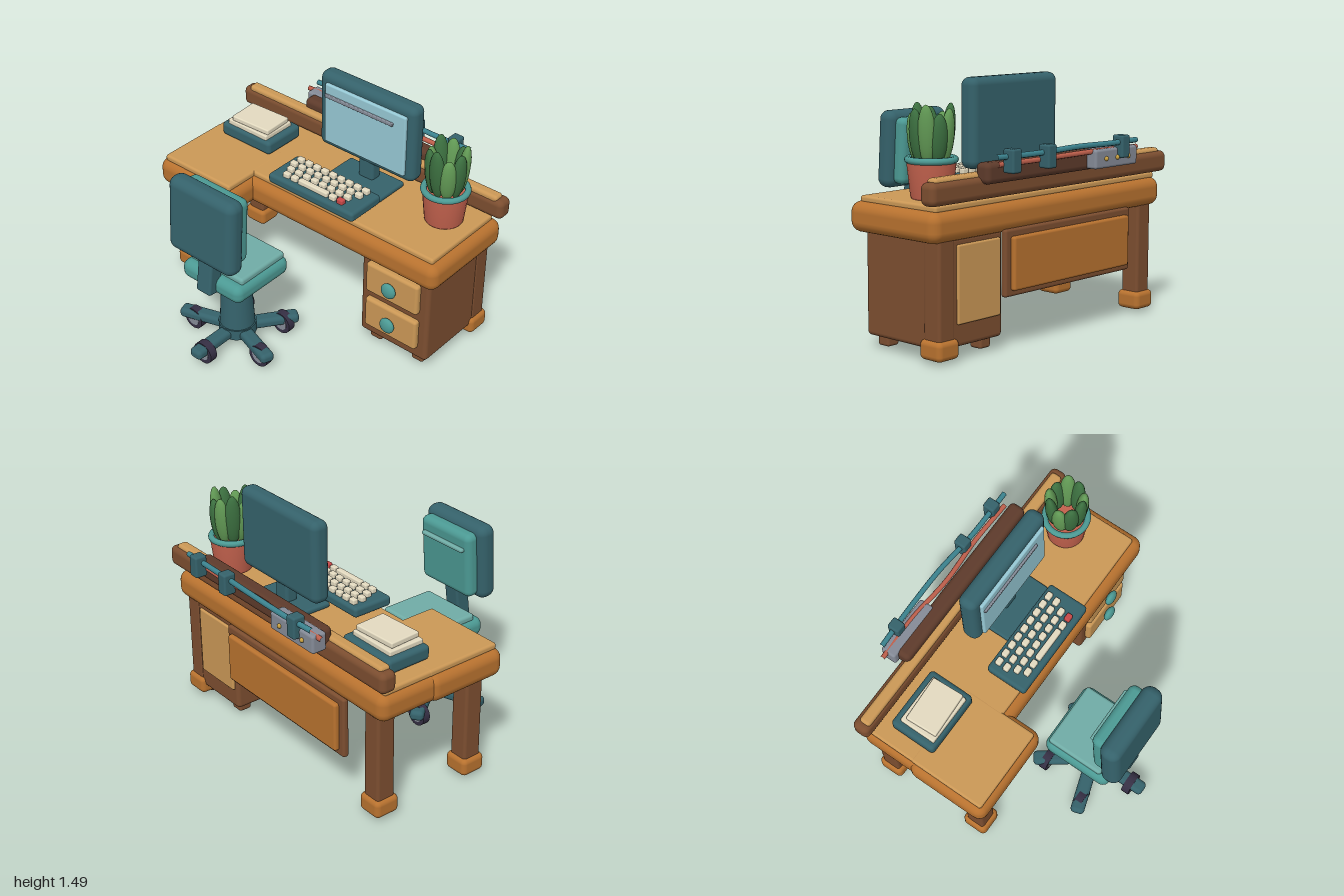
import * as THREE from 'three';
import { RoundedBoxGeometry } from 'three/addons/geometries/RoundedBoxGeometry.js';

const C = {
  orange: 0xb8722f, tan: 0xcb9856, brown: 0x7c4e30, darkBrown: 0x5e3b2b, teal: 0x35626b,
  seat: 0x4c9a94, pale: 0x70aca6, cream: 0xe3dac0, red: 0xc0604c, keyRed: 0xc84848, glass: 0x96c8d4,
  grey: 0x858b97, wheel: 0x352f44, leaf: 0x3c7040, leafLight: 0x629a55, gold: 0xc9a040, pole: 0x3c8490,
};
const mats = {};
const mat = (c) => (mats[c] ??= new THREE.MeshStandardMaterial({ color: C[c] }));

function add(parent, name, color, geometry, x = 0, y = 0, z = 0) {
  const mesh = new THREE.Mesh(geometry, mat(color));
  mesh.name = name;
  mesh.position.set(x, y, z);
  parent.add(mesh);
  return mesh;
}

// Rounded box given by its extents
function box(parent, name, color, [x0, x1], [y0, y1], [z0, z1], r = 0.01) {
  const w = x1 - x0, h = y1 - y0, d = z1 - z0;
  const radius = Math.min(r, Math.min(w, h, d) * 0.49);
  return add(parent, name, color, new RoundedBoxGeometry(w, h, d, 3, radius),
    (x0 + x1) / 2, (y0 + y1) / 2, (z0 + z1) / 2);
}

function group(parent, name) {
  const g = new THREE.Group();
  g.name = name;
  parent.add(g);
  return g;
}

function buildDesk(root) {
  const desk = group(root, 'desk');
  // L-shaped slab with an inset work surface
  box(desk, 'mainSlab', 'orange', [-0.975, 0.97], [0.65, 0.82], [-0.65, 0.02], 0.06);
  box(desk, 'wingSlab', 'orange', [-0.99, -0.385], [0.65, 0.82], [-0.31, 0.22], 0.06);
  box(desk, 'mainSurface', 'tan', [-0.95, 0.92], [0.81, 0.85], [-0.61, -0.03], 0.015);
  box(desk, 'wingSurface', 'tan', [-0.952, -0.42], [0.81, 0.851], [-0.3, 0.19], 0.015);
  // Rear rail
  box(desk, 'backRail', 'brown', [-1, 1], [0.855, 0.98], [-0.67, -0.565], 0.035);
  box(desk, 'railCap', 'tan', [-0.955, 0.955], [0.93, 1.0], [-0.645, -0.575], 0.02);
  // Legs with block feet
  for (const [x, z] of [[-0.85, 0.08], [-0.85, -0.56], [0.845, -0.56]]) {
    box(desk, 'leg', 'brown', [x - 0.06, x + 0.06], [0.1, 0.68], [z - 0.06, z + 0.06], 0.018);
    box(desk, 'foot', 'orange', [x - 0.08, x + 0.08], [0.02, 0.13], [z - 0.08, z + 0.08], 0.03);
  }
  // Rear panels
  box(desk, 'modestyPanel', 'brown', [-0.66, 0.43], [0.295, 0.67], [-0.655, -0.615], 0.015);
  box(desk, 'modestyInset', 'orange', [-0.62, 0.39], [0.33, 0.63], [-0.685, -0.645], 0.015);
  // Drawer cabinet
  box(desk, 'cabinet', 'brown', [0.41, 0.9], [0.075, 0.67], [-0.615, -0.05], 0.025);
  box(desk, 'cabinetBackPanel', 'tan', [0.44, 0.77], [0.2, 0.63], [-0.63, -0.6], 0.01);
  for (const x of [0.5, 0.81]) for (const z of [-0.13, -0.53])
    box(desk, 'cabinetFoot', 'brown', [x - 0.042, x + 0.042], [0.015, 0.09], [z - 0.042, z + 0.042], 0.015);
  for (const y of [0.515, 0.257]) {
    box(desk, 'drawer', 'tan', [0.465, 0.84], [y - 0.103, y + 0.103], [-0.07, -0.015], 0.018);
    const knob = add(desk, 'drawerKnob', 'seat', new THREE.SphereGeometry(0.05, 20, 14), 0.652, y, 0.008);
    knob.scale.z = 0.5;
  }
}

function buildRack(root) {
  const rack = group(root, 'rearRack');
  box(rack, 'cableTray', 'darkBrown', [-0.525, 0.635], [0.94, 1.055], [-0.715, -0.615], 0.03);
  box(rack, 'powerBox', 'grey', [-0.56, -0.18], [0.95, 1.06], [-0.78, -0.685], 0.015);
  for (const x of [-0.47, -0.37, -0.27])
    add(rack, 'powerButton', 'gold', new THREE.SphereGeometry(0.014, 10, 8), x, 1.005, -0.782);
  // Slightly wavy cables running along the rear
  const cable = (name, color, pts, r) => add(rack, name, color, new THREE.TubeGeometry(
    new THREE.CatmullRomCurve3(pts.map((p) => new THREE.Vector3(...p))), 40, r, 8));
  cable('redCable', 'red', [[-0.595, 1.045, -0.742], [-0.3, 1.05, -0.748], [0, 1.045, -0.728],
    [0.3, 1.045, -0.742], [0.585, 1.045, -0.733]], 0.015);
  cable('tealCable', 'pole', [[-0.55, 1.09, -0.775], [-0.3, 1.09, -0.785], [0, 1.095, -0.785],
    [0.3, 1.085, -0.765], [0.63, 1.09, -0.765]], 0.016);
  for (const x of [-0.41, 0.23, 0.515])
    box(rack, 'cableClip', 'teal', [x - 0.035, x + 0.035], [1.0, 1.13], [-0.815, -0.738], 0.012);
}

function buildMonitor(root) {
  const m = group(root, 'monitor');
  box(m, 'monitorBase', 'teal', [-0.05, 0.36], [0.85, 0.885], [-0.5, -0.26], 0.015);
  box(m, 'monitorNeck', 'teal', [0.1, 0.21], [0.87, 1.02], [-0.46, -0.38], 0.02);
  box(m, 'monitorFrame', 'teal', [-0.2, 0.505], [0.985, 1.485], [-0.485, -0.37], 0.045);
  box(m, 'screen', 'glass', [-0.14, 0.455], [1.035, 1.43], [-0.385, -0.35], 0.01);
  box(m, 'screenBar', 'grey', [-0.13, 0.37], [1.345, 1.367], [-0.36, -0.337], 0.005);
}

function buildKeyboard(root) {
  const k = group(root, 'keyboard');
  box(k, 'keyboardBody', 'teal', [-0.27, 0.375], [0.862, 0.925], [-0.255, 0.01], 0.02);
  const key = (x, z, w = 0.046, color = 'cream') => box(k, 'key', color,
    [x - w / 2, x + w / 2], [0.915, 0.954], [z - 0.018, z + 0.018], 0.008);
  // Rows: first key x, key count, z
  for (const [x0, n, z] of [[-0.2, 9, -0.212], [-0.205, 9, -0.155], [-0.18, 8, -0.097]])
    for (let i = 0; i < n; i++) key(x0 + i * 0.062, z);
  for (const x of [-0.16, -0.1, 0.19]) key(x, -0.041);
  key(0.045, -0.041, 0.22);
  key(0.25, -0.041, 0.046, 'keyRed');
}

function buildPapers(root) {
  const p = group(root, 'paperTray');
  box(p, 'tray', 'teal', [-0.855, -0.46], [0.85, 0.94], [-0.505, -0.21], 0.025);
  box(p, 'lowerPapers', 'cream', [-0.815, -0.5], [0.93, 0.968], [-0.462, -0.228], 0.008);
  box(p, 'upperPapers', 'cream', [-0.79, -0.505], [0.966, 1.0], [-0.44, -0.24], 0.008).rotation.y = 0.05;
}

function buildPlant(root) {
  const plant = group(root, 'pottedPlant');
  plant.position.set(0.73, 0.85, -0.39);
  const profile = [[0, 0], [0.108, 0], [0.114, 0.01], [0.135, 0.2], [0.12, 0.2], [0.115, 0.18], [0, 0.18]];
  add(plant, 'pot', 'red', new THREE.LatheGeometry(profile.map((p) => new THREE.Vector2(...p)), 28));
  const rim = add(plant, 'potRim', 'seat', new THREE.TorusGeometry(0.127, 0.019, 10, 32), 0, 0.21, 0);
  rim.rotation.x = Math.PI / 2;
  // Ring of thick leaves, alternating in height and shade
  for (let i = 0; i < 9; i++) {
    const stem = group(plant, 'leafStem');
    stem.rotation.y = (i / 9) * Math.PI * 2;
    const h = [0.15, 0.125, 0.138][i % 3];
    const leaf = add(stem, 'leaf', i % 2 ? 'leafLight' : 'leaf', new THREE.SphereGeometry(1, 14, 12),
      0, 0.2 + h, 0.093);
    leaf.scale.set(0.05, h + 0.01, 0.036);
    leaf.rotation.x = 0.1;
  }
}

function buildChair(root) {
  const chair = group(root, 'chair');
  chair.position.set(-0.145, 0, 0.435);
  // Pedestal
  add(chair, 'column', 'teal', new THREE.CylinderGeometry(0.088, 0.108, 0.36, 20), 0, 0.3, 0);
  add(chair, 'hub', 'teal', new THREE.CylinderGeometry(0.115, 0.115, 0.07, 20), 0, 0.105, 0);
  add(chair, 'seatPlate', 'seat', new THREE.CylinderGeometry(0.13, 0.13, 0.04, 24), 0, 0.475, 0);
  // Five spokes with casters
  for (let i = 0; i < 5; i++) {
    const a = (i / 5) * Math.PI * 2;
    const spoke = group(chair, 'spoke');
    spoke.rotation.y = a;
    box(spoke, 'spokeArm', 'teal', [-0.043, 0.043], [0.068, 0.132], [0.05, 0.373], 0.025);
    const x = Math.sin(a) * 0.28, z = Math.cos(a) * 0.28;
    const caster = group(chair, 'caster');
    caster.position.set(x, 0.07, z);
    caster.rotation.x = Math.PI / 2;
    add(caster, 'wheel', 'wheel', new THREE.CylinderGeometry(0.07, 0.07, 0.05, 20));
    add(caster, 'wheelHub', 'grey', new THREE.CylinderGeometry(0.045, 0.045, 0.056, 16));
  }
  // Seat
  box(chair, 'seatBase', 'seat', [-0.23, 0.23], [0.485, 0.605], [-0.22, 0.225], 0.05);
  box(chair, 'seatCushion', 'pale', [-0.205, 0.205], [0.59, 0.638], [-0.2, 0.165], 0.018);
  // Backrest leaning slightly toward the desk
  box(chair, 'backPost', 'teal', [-0.055, 0.055], [0.5, 0.8], [0.165, 0.26], 0.015).rotation.x = -0.13;
  const back = group(chair, 'backrest');
  back.position.set(0, 0.97, 0.228);
  back.rotation.x = -0.06;
  box(back, 'backShell', 'teal', [-0.25, 0.25], [-0.24, 0.24], [-0.063, 0.063], 0.055);
  box(back, 'backCushion', 'seat', [-0.21, 0.21], [-0.21, 0.205], [-0.135, -0.04], 0.04);
  box(back, 'backTrim', 'pale', [-0.175, 0.175], [0.098, 0.122], [-0.16, -0.125], 0.01);
}

export function createModel() {
  const root = new THREE.Group();
  root.name = 'deskSet';
  for (const build of [buildDesk, buildRack, buildMonitor, buildKeyboard, buildPapers, buildPlant, buildChair]) build(root);
  return root;
}
